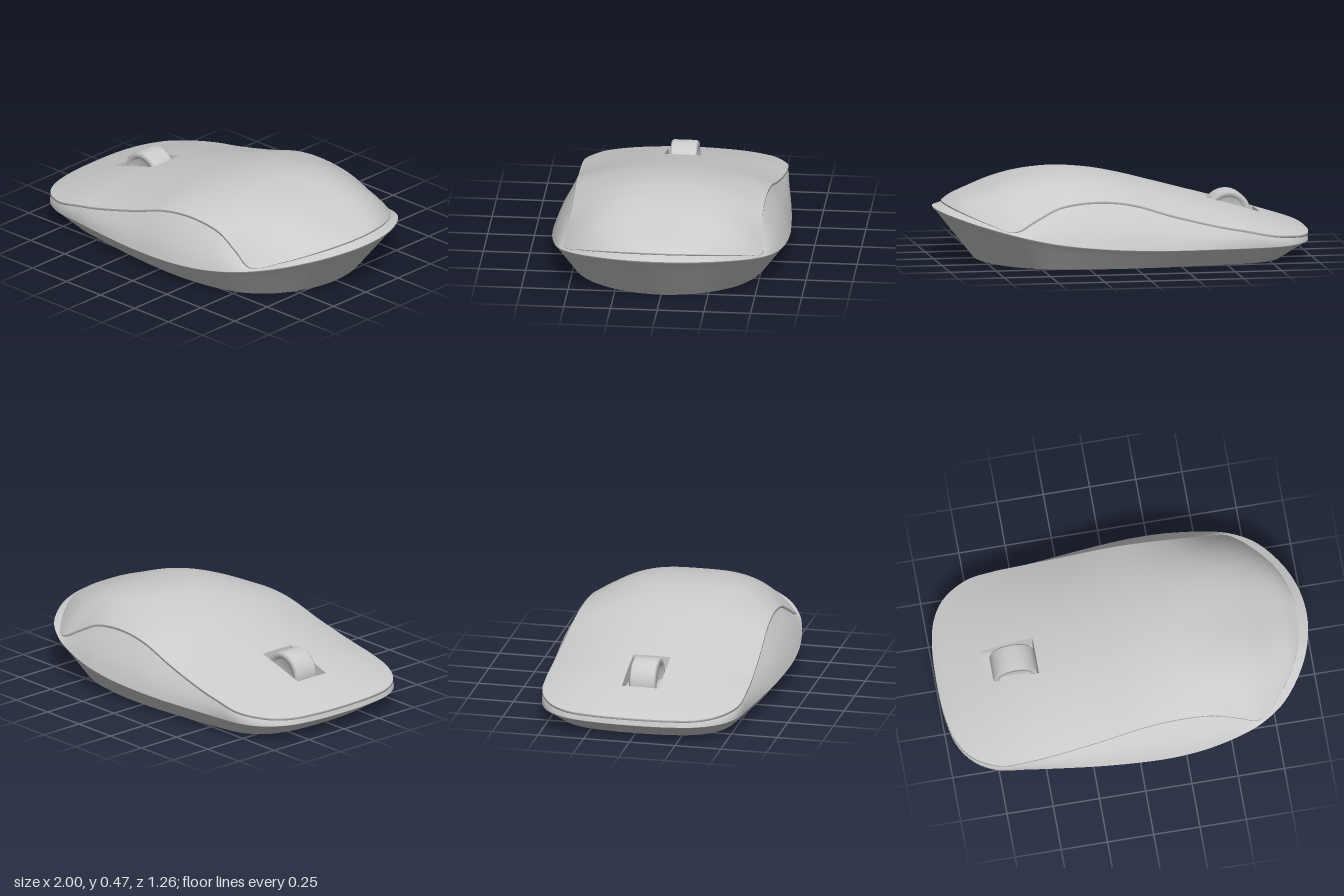
import * as THREE from 'three';

const material = new THREE.MeshStandardMaterial({ color: 0xcccccc, roughness: 0.6 });
const thin = new THREE.MeshStandardMaterial({ color: 0xcccccc, roughness: 0.6, side: THREE.DoubleSide });
const SUB = 6; // subdivisions between stations

// Stations run from the nose (-x) along the +z side to the tail (+x).
// Shell edge: x, y, z and crown height on the centre line
const SHELL = [
  [-1, 0.135, 0, 0.135], [-0.99, 0.135, 0.2, 0.14], [-0.955, 0.135, 0.35, 0.155],
  [-0.88, 0.143, 0.46, 0.18], [-0.745, 0.16, 0.535, 0.225], [-0.6, 0.19, 0.547, 0.27],
  [-0.465, 0.215, 0.545, 0.307], [-0.2, 0.28, 0.532, 0.38], [0, 0.34, 0.52, 0.432],
  [0.15, 0.36, 0.512, 0.461], [0.3, 0.355, 0.508, 0.473], [0.42, 0.33, 0.51, 0.466],
  [0.54, 0.27, 0.522, 0.449], [0.66, 0.21, 0.53, 0.419], [0.77, 0.24, 0.435, 0.38],
  [0.88, 0.28, 0.28, 0.34], [0.935, 0.3, 0.13, 0.312], [0.95, 0.305, 0, 0.305],
];
// Widest line of the body: x, y, z
const RIM = [
  [-1, 0.095, 0], [-0.99, 0.095, 0.2], [-0.955, 0.095, 0.355], [-0.88, 0.095, 0.465],
  [-0.77, 0.095, 0.53], [-0.6, 0.095, 0.557], [-0.42, 0.097, 0.582], [-0.2, 0.1, 0.608],
  [0, 0.108, 0.625], [0.15, 0.118, 0.632], [0.3, 0.132, 0.627], [0.42, 0.147, 0.612],
  [0.56, 0.172, 0.583], [0.67, 0.197, 0.545], [0.8, 0.228, 0.46], [0.92, 0.257, 0.3],
  [0.98, 0.271, 0.15], [1, 0.276, 0],
];
// Outline of the flat underside: x, z
const FOOT = [
  [-0.85, 0], [-0.84, 0.18], [-0.81, 0.31], [-0.75, 0.4], [-0.66, 0.455], [-0.5, 0.485],
  [-0.36, 0.505], [-0.15, 0.53], [0.02, 0.54], [0.14, 0.54], [0.26, 0.53], [0.36, 0.515],
  [0.46, 0.487], [0.54, 0.45], [0.63, 0.38], [0.72, 0.25], [0.765, 0.12], [0.78, 0],
];

// Mirrors the stations in z and samples a smooth closed loop through them
function loop(points) {
  const half = points.map((p) => new THREE.Vector3(...p));
  const mirrored = half.slice(1, -1).reverse().map((p) => new THREE.Vector3(p.x, p.y, -p.z));
  const all = [...half, ...mirrored];
  const curve = new THREE.CatmullRomCurve3(all, true);
  const n = all.length * SUB;
  return Array.from({ length: n }, (_, i) => curve.getPoint(i / n));
}

// Skins rows of points; faces point along (column direction x row direction)
function skin(rows, closed = false, skip = () => false) {
  const m = rows[0].length, index = [];
  for (let i = 0; i < rows.length - 1; i++) {
    for (let j = 0; j < (closed ? m : m - 1); j++) {
      if (skip(i, j)) continue;
      const k = (j + 1) % m;
      const a = i * m + j, b = i * m + k, c = a + m, d = b + m;
      index.push(a, b, c, b, d, c);
    }
  }
  const geometry = new THREE.BufferGeometry().setFromPoints(rows.flat());
  geometry.setIndex(index);
  geometry.computeVertexNormals();
  return geometry;
}

export function createModel() {
  const group = new THREE.Group();
  const add = (name, geometry, mat = material) => {
    const mesh = new THREE.Mesh(geometry, mat);
    mesh.name = name;
    group.add(mesh);
    return mesh;
  };

  const edge = loop(SHELL.map(([x, y, z]) => [x, y, z]));
  const crown = loop(SHELL.map(([x, , z, top]) => [x, top, z]));
  const rim = loop(RIM);
  const foot = loop(FOOT.map(([x, z]) => [x, 0, z]));
  const between = (a, b, t) => a.map((p, i) => p.clone().lerp(b[i], t));

  // Top shell: arched cross-sections with a hole for the wheel
  const slotS = 0.1 / 0.54, columns = [];
  for (let j = 0; j < 14; j++) columns.push(-1 + (j / 14) * (1 - slotS));
  for (let j = 0; j <= 4; j++) columns.push(-slotS + (j / 4) * 2 * slotS);
  for (let j = 1; j <= 14; j++) columns.push(slotS + (j / 14) * (1 - slotS));
  const rows = [];
  for (let i = 0; i <= (SHELL.length - 1) * SUB; i++) {
    const e = edge[i], top = crown[i].y;
    const power = 2.1 + 1.1 * THREE.MathUtils.smoothstep(e.x, 0.15, 0.6);
    rows.push(columns.map((s) => new THREE.Vector3(
      e.x, e.y + (top - e.y) * (1 - Math.abs(s) ** power), s * e.z)));
  }
  const r0 = 4 * SUB, r1 = 6 * SUB, c0 = 14, c1 = 18;
  add('topShell', skin(rows, false, (i, j) => i >= r0 && i < r1 && j >= c0 && j < c1));

  // Thin lip under the shell edge
  const lipHeight = (i) => Math.min(0.012, 0.3 * (edge[i].y - rim[i].y));
  const lipBottom = edge.map((p, i) => new THREE.Vector3(p.x, p.y - lipHeight(i), p.z));
  const panelTop = lipBottom.map((p) => new THREE.Vector3(p.x * 0.993, p.y, p.z * 0.988));
  add('shellLip', skin([panelTop, lipBottom, edge], true), thin);

  // Side panels and the band around nose and tail, slightly bulged
  const panel = [];
  for (let k = 0; k <= 8; k++) {
    const t = k / 8;
    panel.push(between(rim, panelTop, t).map((p, i) => {
      p.z *= 1 + 0.025 * Math.sin(Math.PI * t) * (edge[i].y - rim[i].y) / 0.24;
      return p;
    }));
  }
  add('sidePanels', skin(panel, true));

  // Base flaring from the underside up to the rim
  const soft = between(foot, rim, 0.93);
  const under = [0, 0.25, 0.5, 0.75].map((t) => between(foot, soft, t));
  const bevel = between(soft, rim, 0.5).map((p) => {
    p.x *= 1.004;
    p.z *= 1.003;
    p.x = THREE.MathUtils.clamp(p.x, -1, 1);
    return p;
  });
  add('base', skin([...under, soft, bevel, rim], true));
  const centre = foot.map(() => new THREE.Vector3(0, 0, 0));
  add('underside', skin([centre, foot], true));

  // Wheel slot: walls down to a flat floor
  const floorY = 0.19, mouth = [];
  for (let i = r0; i < r1; i++) mouth.push(rows[i][c1]);
  for (let j = c1; j > c0; j--) mouth.push(rows[r1][j]);
  for (let i = r1; i > r0; i--) mouth.push(rows[i][c0]);
  for (let j = c0; j < c1; j++) mouth.push(rows[r0][j]);
  const floorRing = mouth.map((p) => new THREE.Vector3(p.x, floorY, p.z));
  const floorCentre = mouth.map(() => new THREE.Vector3(-0.605, floorY, 0));
  const walls = skin([mouth, floorRing], true).toNonIndexed();
  walls.computeVertexNormals();
  add('wheelSlotWalls', walls, thin);
  add('wheelSlotFloor', skin([floorRing, floorCentre], true), thin);

  // Scroll wheel: rounded tread with dished sides
  const profile = [
    [0, -0.05], [0.08, -0.05], [0.088, -0.072], [0.112, -0.072], [0.12, -0.062],
    [0.12, 0.062], [0.112, 0.072], [0.088, 0.072], [0.08, 0.05], [0, 0.05],
  ].map(([r, y]) => new THREE.Vector2(r, y));
  const wheel = add('scrollWheel', new THREE.LatheGeometry(profile, 48));
  wheel.rotation.x = Math.PI / 2;
  wheel.position.set(-0.585, 0.215, 0);

  return group;
}
